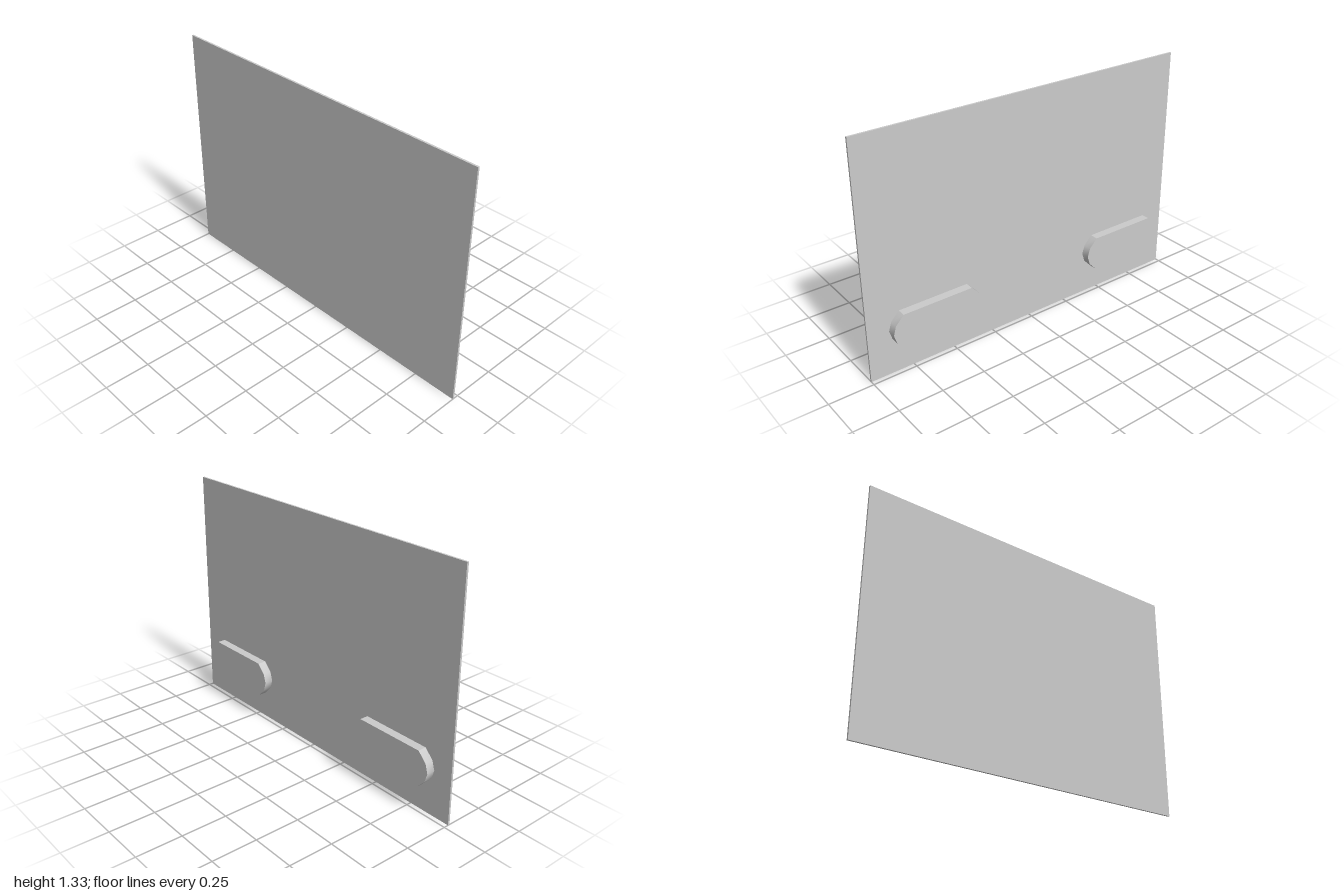
import * as THREE from 'three';
import { toCreasedNormals } from 'three/addons/utils/BufferGeometryUtils.js';

const material = new THREE.MeshStandardMaterial({ color: 0xcccccc });

// Slab with straight top and bottom and faceted, bulging ends
function padGeometry() {
  const quarter = [[0.265, 0], [0.25, 0.05], [0.202, 0.1]];
  const upper = [...quarter, ...quarter.map(([u, v]) => [-u, v]).reverse()];
  const lower = upper.slice(1, -1).map(([u, v]) => [u, -v]).reverse();
  const outline = [...upper, ...lower].map(([u, v]) => new THREE.Vector2(u, v));
  const slab = new THREE.ExtrudeGeometry(new THREE.Shape(outline), { depth: 0.048, bevelEnabled: false });
  slab.rotateY(Math.PI / 2);
  return toCreasedNormals(slab, 0.7);
}

export function createModel() {
  const model = new THREE.Group();

  // Thin upright panel
  const panel = new THREE.Mesh(new THREE.BoxGeometry(0.011, 1.334, 2), material);
  panel.name = 'panel';
  panel.position.set(-0.0315, 0.667, 0);
  model.add(panel);

  // Two pads standing just clear of the panel, near its lower edge
  const geometry = padGeometry();
  for (const [name, z] of [['frontPad', 0.62], ['backPad', -0.64]]) {
    const pad = new THREE.Mesh(geometry, material);
    pad.name = name;
    pad.position.set(-0.011, 0.267, z);
    model.add(pad);
  }

  return model;
}
